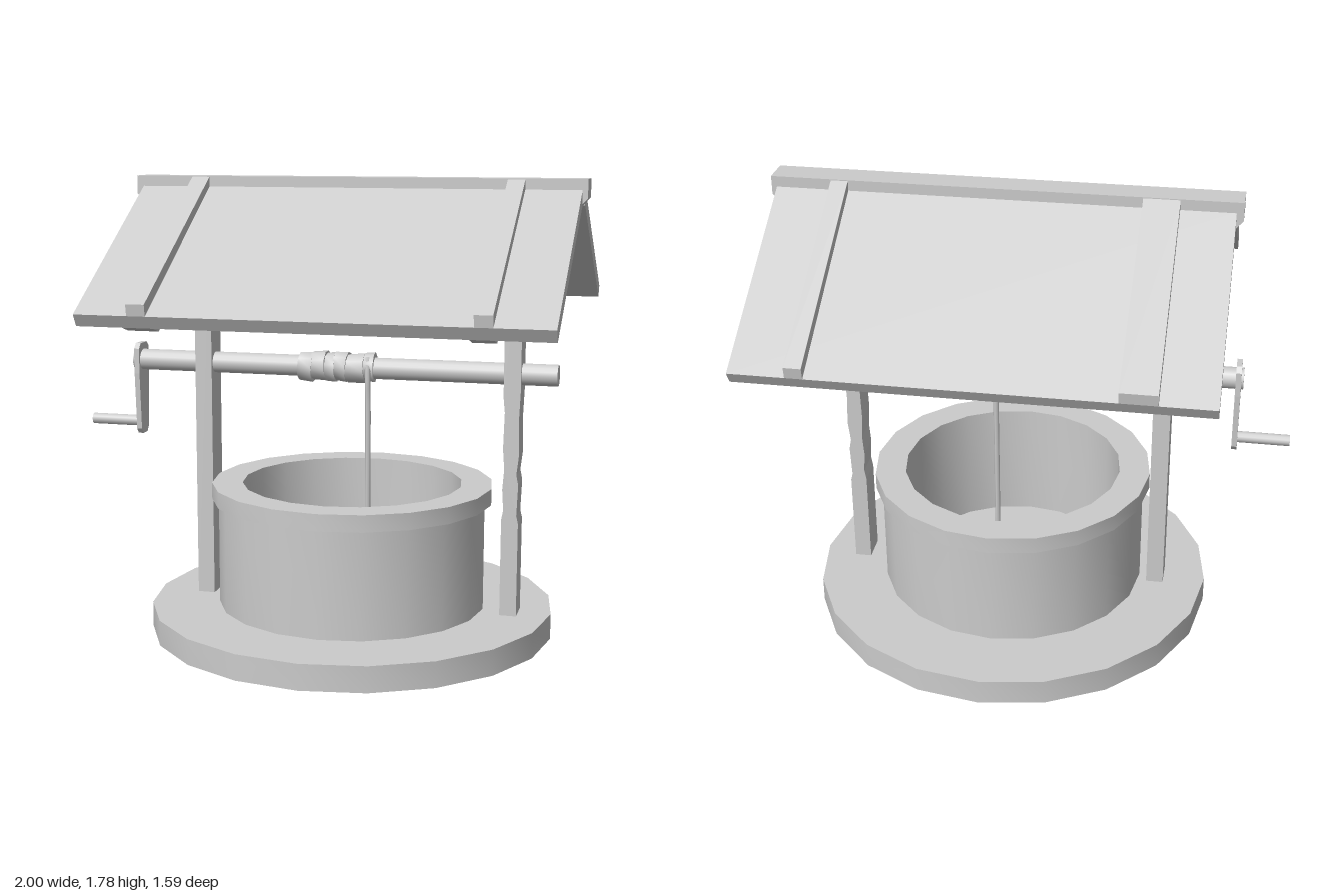
import * as THREE from 'three';
import { toCreasedNormals } from 'three/addons/utils/BufferGeometryUtils.js';

const material = new THREE.MeshStandardMaterial({ color: 0xcccccc });
const CX = 0.095; // centre of the well on x
const CZ = 0.008; // ridge line on z

export function createModel() {
  const model = new THREE.Group();
  model.name = 'well';

  function add(name, geometry) {
    const mesh = new THREE.Mesh(geometry, material);
    mesh.name = name;
    model.add(mesh);
    return mesh;
  }

  // Prism from a [z, y] outline, running along x from x0 to x1
  function prism(name, outline, x0, x1) {
    const shape = new THREE.Shape(outline.map(([z, y]) => new THREE.Vector2(-z, y)));
    const geo = new THREE.ExtrudeGeometry(shape, { depth: x1 - x0, bevelEnabled: false });
    return add(name, geo.rotateY(Math.PI / 2).translate(x0, 0, 0));
  }

  // Prism from an [x, y] outline, running along z from z0 to z1
  function slab(name, outline, z0, z1) {
    const shape = new THREE.Shape(outline.map(([x, y]) => new THREE.Vector2(x, y)));
    const geo = new THREE.ExtrudeGeometry(shape, { depth: z1 - z0, bevelEnabled: false });
    return add(name, geo.translate(0, 0, z0));
  }

  // Turned part with sharp rims
  function turned(name, profile) {
    const pts = profile.map(([r, y]) => new THREE.Vector2(r, y));
    const geo = toCreasedNormals(new THREE.LatheGeometry(pts, 20), 0.6);
    return add(name, geo.translate(CX, 0, 0));
  }

  // Round bar along x
  function bar(name, r, x0, x1, y, z, sides = 16) {
    const geo = new THREE.CylinderGeometry(r, r, x1 - x0, sides).rotateZ(Math.PI / 2);
    return add(name, geo.translate((x0 + x1) / 2, y, z));
  }

  // Stone base and well wall
  turned('base', [[0, 0], [0.797, 0], [0.797, 0.1], [0, 0.1]]);
  turned('wall', [[0.53, 0.1], [0.53, 0.52], [0.556, 0.52], [0.556, 0.585],
    [0.435, 0.585], [0.435, 0.1]]);

  // Posts; the one on the model's left is weathered
  slab('rightPost', [[-0.535, 0.1], [-0.467, 0.1], [-0.467, 1.62], [-0.535, 1.62]], -0.048, 0.064);
  slab('leftPost', [[0.7, 0.1], [0.765, 0.1], [0.765, 0.47], [0.758, 0.5], [0.763, 0.62],
    [0.755, 0.66], [0.764, 0.74], [0.76, 0.86], [0.765, 0.98], [0.765, 1.62],
    [0.7, 1.62], [0.7, 0.96], [0.706, 0.9], [0.702, 0.76], [0.708, 0.68], [0.702, 0.6],
    [0.707, 0.52], [0.7, 0.48]], -0.048, 0.064);

  // Ridge beam with slanted ends
  slab('ridgeBeam', [[-0.765, 1.78], [-0.765, 1.71], [-0.66, 1.59], [0.89, 1.59],
    [0.995, 1.71], [0.995, 1.78]], -0.05, 0.065);

  // Roof slopes, front then back
  for (const side of [1, -1]) {
    const label = side > 0 ? 'front' : 'back';
    const mirror = (pts) => pts.map(([z, y]) => [side > 0 ? z : 2 * CZ - z, y]);
    prism(label + 'RoofPanel', mirror([[0.06, 1.743], [0.768, 1.312], [0.742, 1.267], [0.06, 1.68]]),
      -0.738, 0.975);

    const battens = [[-0.535, side > 0 ? -0.465 : -0.4], [0.7, 0.765]];
    for (const [x0, x1] of battens) {
      prism(label + 'Batten', mirror([[0.06, 1.78], [0.775, 1.355], [0.768, 1.312], [0.06, 1.743]]), x0, x1);
    }

    // Tapered rafters under the panel, braced to the posts
    for (const [x0, x1] of [[-0.563, -0.446], [0.68, 0.766]]) {
      prism(label + 'Rafter', mirror([[0.055, 1.683], [0.742, 1.267], [0.685, 1.25], [0.055, 1.567]]), x0, x1);
    }
    for (const [x0, x1] of [[-0.53, -0.472], [0.705, 0.76]]) {
      prism(label + 'Brace', mirror([[0.055, 1.24], [0.24, 1.475], [0.24, 1.53], [0.19, 1.53], [0.055, 1.345]]),
        x0, x1);
    }
  }

  // Axle with crank arm and handle
  bar('axle', 0.042, -0.8, 0.9, 1.042, 0.01);
  prism('crankArm', [[-0.045, 1.09], [-0.025, 1.11], [0.04, 1.11], [0.06, 1.09], [0.06, 0.99],
    [0.045, 0.76], [0.03, 0.74], [-0.015, 0.74], [-0.03, 0.76], [-0.045, 0.99]], -0.797, -0.776);
  bar('axleCap', 0.042, -0.806, -0.79, 1.042, 0.01);
  bar('handle', 0.022, -1, -0.78, 0.787, 0.005, 12);

  // Wound rope: uneven turns side by side
  const turns = [-0.112, -0.06, -0.005, 0.03, 0.078, 0.15, 0.185];
  for (let i = 0; i < turns.length - 1; i++) {
    const width = turns[i + 1] - turns[i];
    const geo = toCreasedNormals(
      new THREE.CylinderGeometry(0.056, 0.06, width + 0.004, 9).rotateZ(Math.PI / 2), 0.8);
    const turn = add('ropeTurn', geo);
    turn.position.set((turns[i] + turns[i + 1]) / 2, 1.042 + (i % 2 ? 0.003 : -0.002), 0.01);
    turn.rotation.set(i * 0.9, 0, i % 2 ? 0.05 : -0.05);
  }

  // Rope hanging into the well
  const path = new THREE.CatmullRomCurve3([
    [0.165, 1.085, 0.04], [0.17, 1.05, 0.066], [0.173, 0.9, 0.067], [0.173, 0.5, 0.067], [0.173, 0.1, 0.067],
  ].map((p) => new THREE.Vector3(...p)));
  add('rope', new THREE.TubeGeometry(path, 16, 0.011, 6));

  return model;
}
